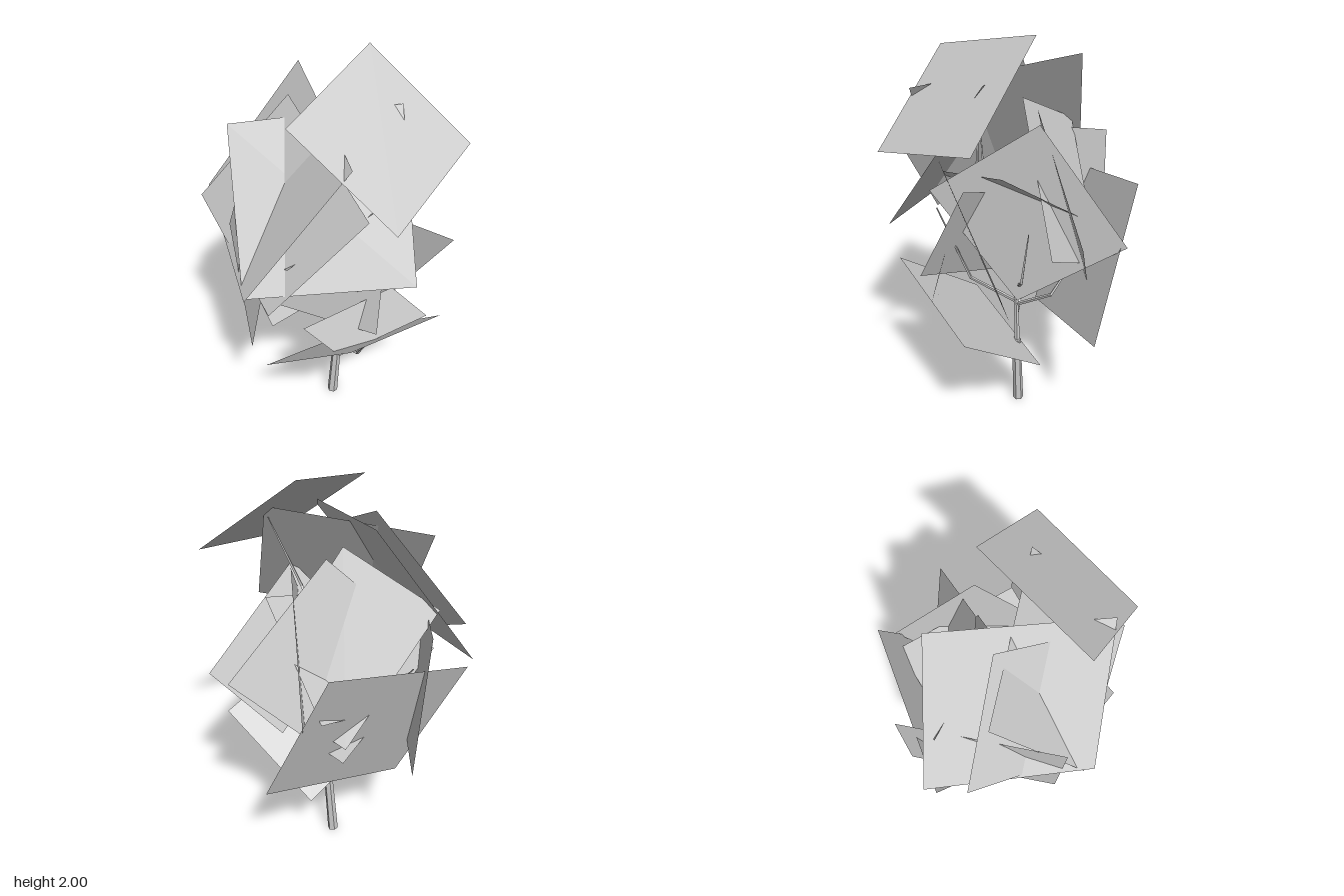
import * as THREE from 'three';

const wood = new THREE.MeshStandardMaterial({ color: 0xcccccc, flatShading: true });
const leaf = new THREE.MeshStandardMaterial({ color: 0xcccccc, flatShading: true, side: THREE.DoubleSide });

// Three neighbouring corners of each flat foliage card; the fourth closes the parallelogram
const cards = [
  [[0.03, 2.0, -0.2], [0.135, 1.86, 0.38], [0.575, 1.49, 0.21]],        // crown, tilted to +x
  [[0.45, 0.86, 0.33], [0.475, 0.7, -0.285], [-0.02, 0.32, -0.205]],    // lowest card
  [[-0.305, 1.85, -0.1], [-0.61, 1.21, 0.24], [0.07, 1.085, 0.6]],      // upper front
  [[-0.135, 1.82, 0.12], [-0.475, 1.28, 0.38], [0.12, 0.98, 0.51]],
  [[-0.31, 1.69, 0.32], [0.03, 1.06, 0.575], [0.605, 1.19, 0.1]],
  [[-0.555, 1.41, -0.015], [-0.53, 0.68, -0.06], [-0.04, 0.67, 0.49]],  // front, -x side
  [[-0.57, 1.14, 0.27], [-0.27, 0.435, 0.17], [-0.06, 0.625, -0.55]],   // back, -x side
  [[0.22, 1.42, -0.22], [-0.3, 1.07, -0.43], [-0.35, 0.87, 0.22]],      // inner cards
  [[-0.05, 1.65, -0.11], [0.08, 1.2, -0.6], [-0.27, 0.735, -0.25]],
  [[-0.05, 1.67, 0.0], [0.11, 1.08, -0.435], [-0.31, 0.855, -0.28]],
  [[0.35, 1.45, 0.09], [0.4, 1.04, -0.44], [0.17, 0.66, -0.2]],         // +x side
  [[-0.44, 1.1, 0.0], [-0.31, 0.62, 0.2], [0.44, 0.84, 0.15]],          // lower front
  [[0.035, 1.63, -0.24], [-0.265, 1.06, -0.51], [0.065, 0.7, -0.12]],   // upright, back
  [[0.39, 1.0, 0.0], [0.525, 0.85, -0.1], [0.305, 0.68, 0.25]],         // low, +x side
];

function foliageCard([a, b, c]) {
  const d = a.map((v, i) => v + c[i] - b[i]);
  const g = new THREE.BufferGeometry();
  g.setAttribute('position', new THREE.Float32BufferAttribute([...a, ...b, ...c, ...d], 3));
  g.setIndex([0, 1, 2, 0, 2, 3]);
  g.computeVertexNormals();
  const mesh = new THREE.Mesh(g, leaf);
  mesh.name = 'foliageCard';
  return mesh;
}

// Tapered straight piece of wood between two points
function limb(name, from, to, r0, r1, sides) {
  const a = new THREE.Vector3(...from), b = new THREE.Vector3(...to);
  const dir = b.clone().sub(a);
  const mesh = new THREE.Mesh(new THREE.CylinderGeometry(r1, r0, dir.length(), sides), wood);
  mesh.position.copy(a).add(b).multiplyScalar(0.5);
  mesh.quaternion.setFromUnitVectors(new THREE.Vector3(0, 1, 0), dir.normalize());
  mesh.name = name;
  return mesh;
}

export function createModel() {
  const tree = new THREE.Group();
  tree.name = 'tree';

  // Trunk and its thinner leader
  tree.add(limb('trunk', [-0.012, 0, -0.025], [0.01, 0.4, -0.04], 0.027, 0.022, 6));
  tree.add(limb('leader', [0.005, 0.37, -0.04], [0.0, 0.68, -0.02], 0.014, 0.011, 5));
  tree.add(limb('leader', [0, 0.68, -0.02], [0.02, 1.1, -0.03], 0.011, 0.007, 5));
  tree.add(limb('leader', [0.02, 1.1, -0.03], [0.01, 1.45, 0.02], 0.007, 0.003, 4));

  // Bent twigs: start, elbow, tip
  const twigs = [
    [[0.01, 0.36, -0.035], [0.19, 0.44, 0.0], [0.37, 0.73, 0.11]],
    [[0, 0.55, -0.03], [-0.12, 0.72, 0.06], [-0.3, 1.08, 0.16]],
    [[0, 0.62, -0.02], [0.2, 0.78, 0.08], [0.36, 1.2, 0.1]],
    [[0, 0.6, -0.02], [-0.08, 0.72, -0.2], [-0.2, 0.95, -0.26]],
    [[0, 0.7, -0.02], [0.1, 0.85, -0.2], [0.12, 1.15, -0.28]],
    [[0, 0.75, -0.02], [-0.25, 0.92, 0.0], [-0.43, 1.18, 0.04]],
    [[0.01, 0.85, -0.02], [0.02, 1.05, 0.2], [0.01, 1.48, 0.26]],
    [[0.02, 1.1, -0.03], [0.2, 1.4, 0.0], [0.27, 1.76, -0.13]],
  ];
  for (const [start, elbow, tip] of twigs) {
    tree.add(limb('twig', start, elbow, 0.01, 0.008, 4));
    tree.add(limb('twig', elbow, tip, 0.008, 0.003, 4));
  }

  // Crown of foliage
  const crown = new THREE.Group();
  crown.name = 'crown';
  for (const corners of cards) crown.add(foliageCard(corners));
  tree.add(crown);
  return tree;
}
